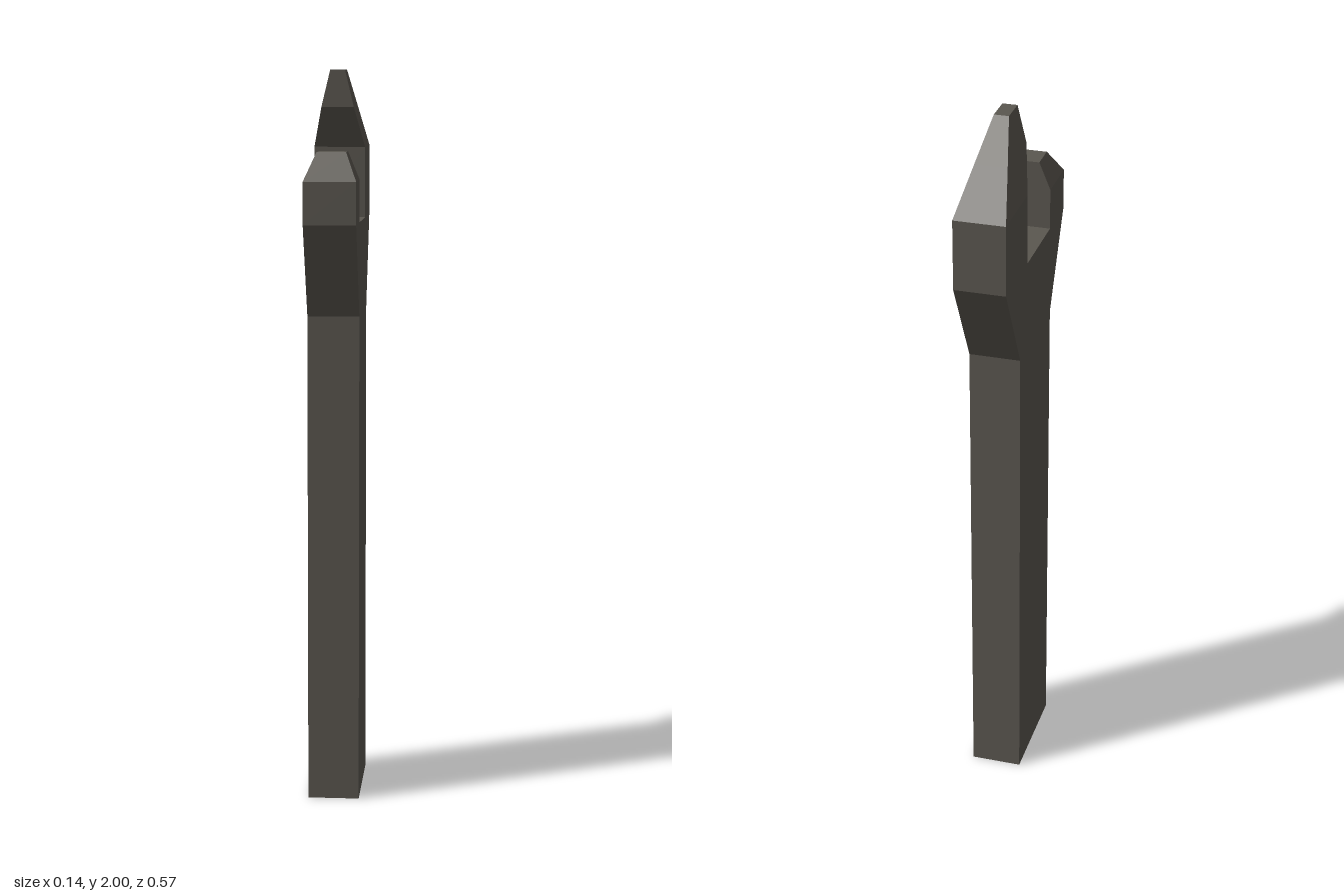
import * as THREE from 'three';

const HALF = 0.07; // half thickness of the full-width parts

// Loft through rectangular sections [y, zFront, zBack, halfWidth]
function loft(sections, closeBottom) {
  const rings = sections.map(([y, zf, zb, w = HALF]) => [
    [w, y, zf], [w, y, zb], [-w, y, zb], [-w, y, zf],
  ]);
  const pos = [];
  const quad = (a, b, c, d) => pos.push(...a, ...b, ...c, ...a, ...c, ...d);
  for (let i = 0; i < rings.length - 1; i++) {
    const lo = rings[i], hi = rings[i + 1];
    for (let k = 0; k < 4; k++) {
      const n = (k + 1) % 4;
      quad(lo[k], lo[n], hi[n], hi[k]);
    }
  }
  quad(...rings[rings.length - 1]);
  if (closeBottom) quad(...[...rings[0]].reverse());
  const geo = new THREE.BufferGeometry();
  geo.setAttribute('position', new THREE.Float32BufferAttribute(pos, 3));
  geo.computeVertexNormals();
  return geo;
}

export function createModel() {
  const group = new THREE.Group();
  group.name = 'wrench';
  const steel = new THREE.MeshStandardMaterial({ color: 0x5b5750 });
  steel.name = 'dark steel';

  const add = (name, sections, closeBottom = false) => {
    const mesh = new THREE.Mesh(loft(sections, closeBottom), steel);
    mesh.name = name;
    group.add(mesh);
  };

  // Straight handle flaring into the head, up to the floor of the opening
  add('handleAndHead', [
    [0, 0.15, -0.15],
    [1.345, 0.15, -0.15],
    [1.597, 0.284, -0.284],
  ], true);

  // Short front jaw with a chamfered tip
  add('shortJaw', [
    [1.597, 0.284, 0.143],
    [1.71, 0.284, 0.143],
    [1.785, 0.219, 0.143, 0.039],
  ]);

  // Long back jaw, hooking forward and tapering to a narrow tip
  add('longJaw', [
    [1.597, -0.084, -0.284],
    [1.79, -0.084, -0.284],
    [1.9, -0.003, -0.178, 0.044],
    [2, -0.003, -0.082, 0.02],
  ]);

  return group;
}
